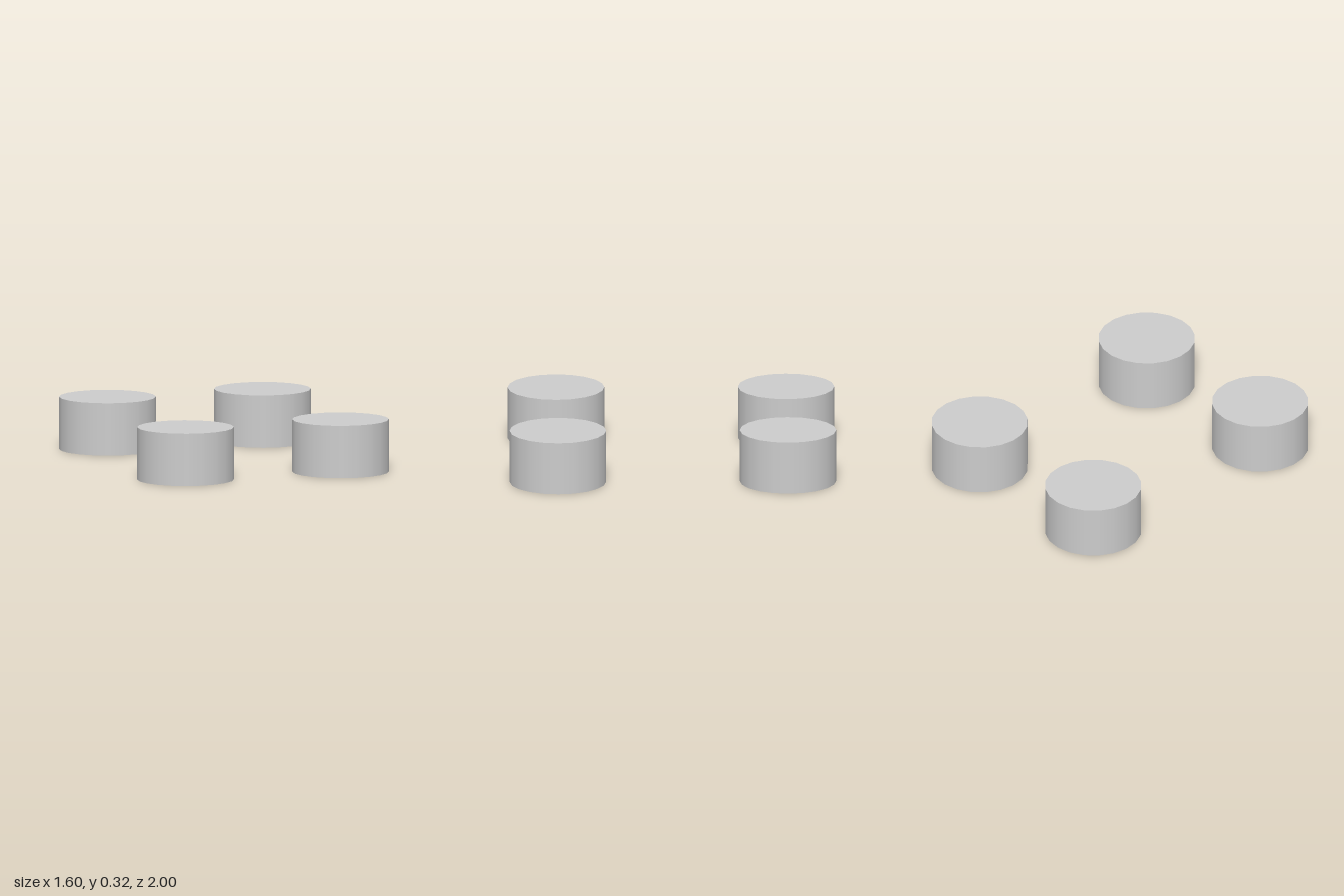
import * as THREE from 'three';

export function createModel() {
  const model = new THREE.Group();
  const material = new THREE.MeshStandardMaterial({ color: 0xcccccc });

  // Short 20-sided disc, smooth around the side with sharp rims
  const radius = 0.296;
  const height = 0.323;
  const disc = new THREE.CylinderGeometry(radius, radius, height, 20);

  // One disc at each corner of a rectangle, standing on the ground
  for (const [zName, zSide] of [['front', 1], ['back', -1]]) {
    for (const [xName, xSide] of [['Left', 1], ['Right', -1]]) {
      const mesh = new THREE.Mesh(disc, material);
      mesh.name = `${zName}${xName}Disc`;
      mesh.position.set(xSide * 0.504, height / 2, zSide * (1 - radius));
      model.add(mesh);
    }
  }
  return model;
}
